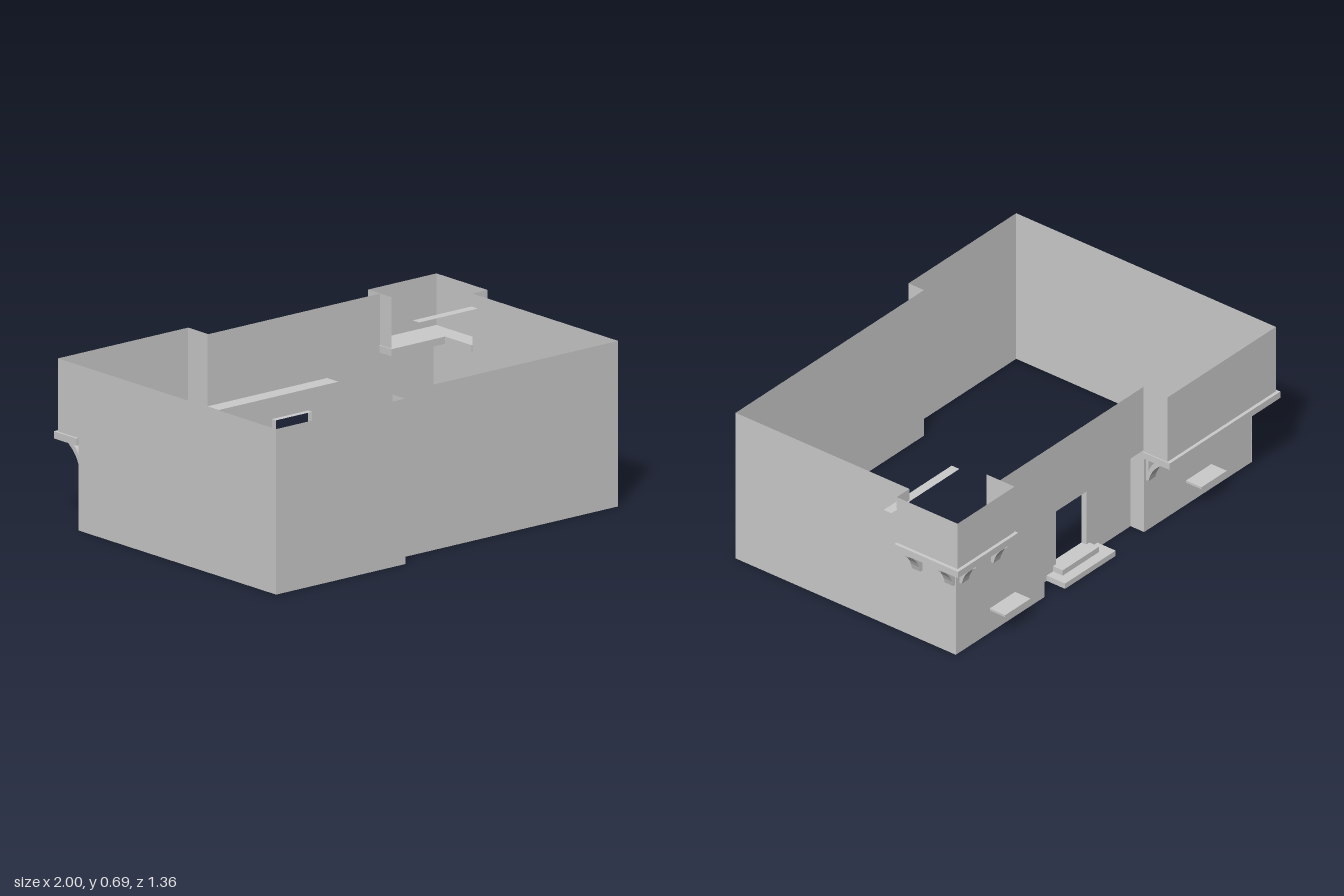
import * as THREE from 'three';

const mat = new THREE.MeshStandardMaterial({ color: 0xcccccc, side: THREE.DoubleSide, flatShading: true });

export function createModel() {
  const model = new THREE.Group();

  const add = (name, geometry) => {
    const mesh = new THREE.Mesh(geometry, mat);
    mesh.name = name;
    model.add(mesh);
    return mesh;
  };

  // Thin upright wall between two plan points
  const wall = (name, x1, z1, x2, z2, y0 = 0, y1 = 0.69) => {
    const m = add(name, new THREE.PlaneGeometry(Math.hypot(x2 - x1, z2 - z1), y1 - y0));
    m.position.set((x1 + x2) / 2, (y0 + y1) / 2, (z1 + z2) / 2);
    m.rotation.y = -Math.atan2(z2 - z1, x2 - x1);
  };

  // Thin level sheet
  const sheet = (name, x0, x1, z0, z1, y) => {
    const m = add(name, new THREE.PlaneGeometry(x1 - x0, z1 - z0).rotateX(-Math.PI / 2));
    m.position.set((x0 + x1) / 2, y, (z0 + z1) / 2);
  };

  const box = (name, x0, x1, y0, y1, z0, z1) => {
    const m = add(name, new THREE.BoxGeometry(x1 - x0, y1 - y0, z1 - z0));
    m.position.set((x0 + x1) / 2, (y0 + y1) / 2, (z0 + z1) / 2);
  };

  // Front and side walls, the front stepping back at x = -0.31
  wall('frontWallProjecting', -0.99, 0.68, -0.31, 0.68);
  wall('frontWallStep', -0.31, 0.68, -0.31, 0.6);
  wall('frontWall', -0.31, 0.6, 0.88, 0.6);
  wall('rightSideWall', -0.99, 0.68, -0.99, -0.54);
  wall('leftSideWall', 0.88, 0.6, 0.88, -0.3);
  wall('leftSideWallUnderBay', 0.88, -0.3, 0.88, -0.54, 0, 0.445);

  // Back walls
  wall('backWallUnderOverhang', -0.99, -0.54, -0.31, -0.54, 0, 0.36);
  wall('backWallOverDoor', -0.31, -0.54, 0.32, -0.54, 0.39, 0.69);
  wall('backWall', 0.32, -0.54, 0.6, -0.54);
  wall('backWallUnderBay', 0.6, -0.54, 0.88, -0.54, 0, 0.445);

  // Overhanging upper storey
  box('overhangSlab', -1, -0.3, 0.355, 0.385, -0.68, -0.54);
  wall('overhangWall', -0.99, -0.665, -0.305, -0.665, 0.385);
  for (const x of [-0.99, -0.305]) wall('overhangEnd', x, -0.665, x, -0.54, 0.385);

  // Door recess with opening
  for (const x of [-0.31, 0.32]) wall('recessSide', x, -0.54, x, -0.47, 0, 0.39);
  sheet('recessCeiling', -0.31, 0.32, -0.54, -0.47, 0.39);
  wall('recessWallRight', -0.31, -0.47, -0.03, -0.47, 0, 0.39);
  wall('recessWallLeft', 0.16, -0.47, 0.32, -0.47, 0, 0.39);
  wall('recessWallTop', -0.03, -0.47, 0.16, -0.47, 0.3, 0.39);
  wall('doorRiser', -0.03, -0.47, 0.16, -0.47, 0, 0.05);
  for (const x of [-0.03, 0.16]) wall('doorJamb', x, -0.47, x, -0.445, 0.05, 0.3);
  sheet('doorLintel', -0.03, 0.16, -0.47, -0.445, 0.3);
  sheet('doorSill', -0.03, 0.16, -0.47, -0.445, 0.05);
  box('lowerStep', -0.1, 0.22, 0, 0.025, -0.565, -0.47);
  box('upperStep', -0.05, 0.18, 0.025, 0.05, -0.52, -0.47);

  // Corner bay, wrapping the back left corner and open to the room
  const plan = [[0.595, -0.63], [0.975, -0.63], [0.975, -0.3], [0.877, -0.3], [0.877, -0.465], [0.595, -0.465]];
  const floor = new THREE.Shape(plan.map(([x, z]) => new THREE.Vector2(x, -z)));
  add('baySlab', new THREE.ExtrudeGeometry(floor, { depth: 0.03, bevelEnabled: false })
    .rotateX(-Math.PI / 2)).position.y = 0.445;
  wall('bayBackWall', 0.6, -0.615, 0.96, -0.615, 0.475);
  wall('bayOuterWall', 0.96, -0.615, 0.96, -0.3, 0.475);
  wall('bayFrontEnd', 0.88, -0.3, 0.96, -0.3, 0.475);
  wall('bayRightEnd', 0.6, -0.615, 0.6, -0.47, 0.475);
  sheet('bayCrossStrip', 0.57, 1, -0.305, -0.265, 0.635);

  // Ledges low on the back wall
  for (const x of [0.505, -0.735]) box('ledge', x, x + 0.16, 0.105, 0.115, -0.62, -0.54);

  // Curved brackets: outward along local +x, top at y = 0
  const profile = new THREE.Shape();
  profile.moveTo(0, 0);
  profile.lineTo(0, -0.115);
  profile.lineTo(0.012, -0.115);
  profile.quadraticCurveTo(0.025, -0.05, 0.085, -0.012);
  profile.lineTo(0.085, 0);
  profile.lineTo(0.065, 0);
  profile.quadraticCurveTo(0.025, -0.025, 0.012, -0.07);
  profile.lineTo(0.012, 0);
  const bracketGeo = new THREE.ExtrudeGeometry(profile, { depth: 0.044, bevelEnabled: false, curveSegments: 5 })
    .translate(0, 0, -0.022);
  const bracket = (x, y, z, turn) => {
    const m = add('bracket', bracketGeo);
    m.position.set(x, y, z);
    m.rotation.y = turn;
  };
  for (const z of [-0.345, -0.515]) bracket(0.88, 0.445, z, 0);
  for (const x of [0.635, 0.835]) bracket(x, 0.445, -0.54, Math.PI / 2);
  for (const x of [-0.95, -0.345]) bracket(x, 0.355, -0.54, Math.PI / 2);

  return model;
}
